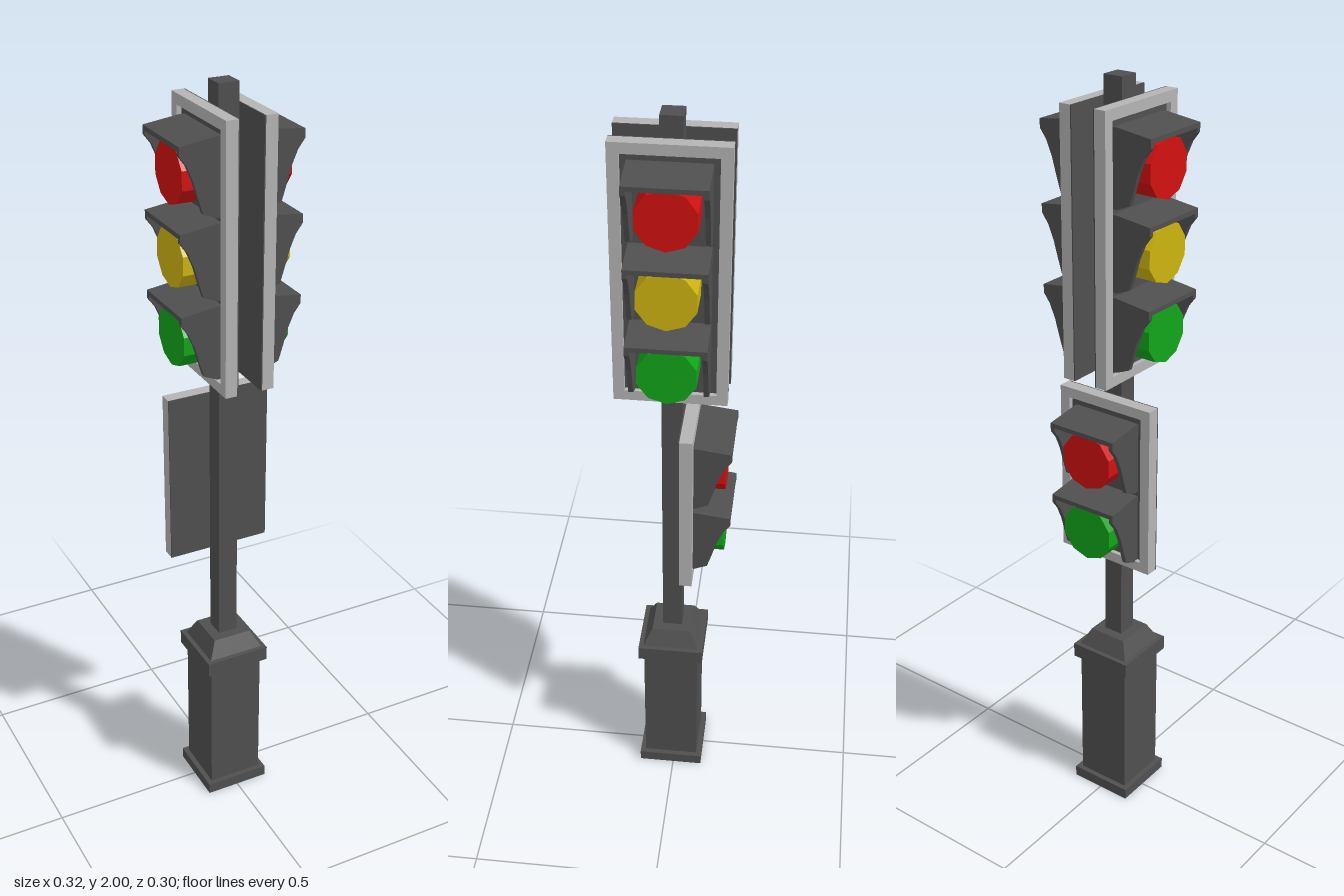
import * as THREE from 'three';

const mat = (name, color) => {
  const m = new THREE.MeshStandardMaterial({ color });
  m.name = name;
  return m;
};

export function createModel() {
  const dark = mat('dark grey', 0x4f4f4f);
  const light = mat('light grey', 0xb4b4b4);
  const red = mat('red', 0xd21010);
  const yellow = mat('yellow', 0xcdb410);
  const green = mat('green', 0x12a51a);

  const model = new THREE.Group();
  const CZ = 0.0075; // pole axis

  const add = (parent, name, geo, material, x = 0, y = 0, z = 0) => {
    const m = new THREE.Mesh(geo, material);
    m.name = name;
    m.position.set(x, y, z);
    parent.add(m);
    return m;
  };
  const block = (parent, name, w, y0, y1, d, material, z = 0) =>
    add(parent, name, new THREE.BoxGeometry(w, y1 - y0, d), material, 0, (y0 + y1) / 2, z);
  const polygon = (points) => new THREE.Shape(points.map(([x, y]) => new THREE.Vector2(x, y)));
  const rect = (hw, y0, y1) => polygon([[-hw, y0], [hw, y0], [hw, y1], [-hw, y1]]);
  const extrude = (shape, depth) => new THREE.ExtrudeGeometry(shape, { depth, bevelEnabled: false });

  // Pole and stepped square base
  const post = new THREE.Group();
  post.name = 'post';
  post.position.z = CZ;
  model.add(post);
  block(post, 'pole', 0.053, 0.45, 2, 0.053, dark);
  block(post, 'baseBody', 0.149, 0.025, 0.42, 0.149, dark);
  block(post, 'baseCollar', 0.177, 0.415, 0.455, 0.177, dark);
  const taper = new THREE.CylinderGeometry(0.053 * Math.SQRT2, 0.076 * Math.SQRT2, 0.045, 4, 1);
  taper.rotateY(Math.PI / 4);
  add(post, 'baseTaper', taper.toNonIndexed(), dark, 0, 0.4775, 0).geometry.computeVertexNormals();
  // Plinth, hollow underneath
  const plinthShape = rect(0.0885, -0.0885, 0.0885);
  plinthShape.holes.push(rect(0.065, -0.065, 0.065));
  const plinth = extrude(plinthShape, 0.03);
  plinth.rotateX(-Math.PI / 2);
  add(post, 'plinth', plinth, dark);

  // Visor: profiles in depth and height, swept across the width
  const sideProfile = polygon([
    [-0.012, 0.1], [0, 0.1], [0.094, 0.088], [0.094, 0.066], [0.076, 0.042],
    [0.06, 0.005], [0.047, -0.04], [0.036, -0.075], [0, -0.09], [-0.012, -0.09],
  ]);
  const roofProfile = polygon([[-0.012, 0.1], [0, 0.1], [0.094, 0.088], [0.094, 0.076], [0, 0.088], [-0.012, 0.088]]);
  const HALF = 0.097, WALL = 0.012;
  const sideGeo = extrude(sideProfile, WALL).rotateY(-Math.PI / 2);
  const roofGeo = extrude(roofProfile, 2 * (HALF - WALL)).rotateY(-Math.PI / 2);
  const lampGeo = new THREE.CylinderGeometry(0.075, 0.075, 0.088, 10).rotateX(Math.PI / 2).toNonIndexed();
  lampGeo.computeVertexNormals();

  // One signal head facing local +z, its back at z = 0
  const signalHead = (name, y0, y1, lamps, depth) => {
    const head = new THREE.Group();
    head.name = name;
    block(head, 'backPanel', 0.279, y0, y1, 0.003, dark, 0.0015);
    const frame = rect(0.1395, y0, y1);
    frame.holes.push(rect(0.112, y0 + 0.027, y1 - 0.027));
    add(head, 'frame', extrude(frame, depth - 0.003), light, 0, 0, 0.003);
    block(head, 'facePanel', 0.226, y0 + 0.026, y1 - 0.026, depth - 0.015, dark, (depth - 0.009) / 2);
    for (const [y, material] of lamps) {
      add(head, 'lamp', lampGeo, material, 0, y, depth + 0.032);
      add(head, 'visorRoof', roofGeo, dark, HALF - WALL, y, depth);
      add(head, 'visorSide', sideGeo, dark, HALF, y, depth);
      add(head, 'visorSide', sideGeo, dark, -HALF + WALL, y, depth);
    }
    model.add(head);
    return head;
  };

  // Pair of three-lamp heads on either side of the pole
  for (const s of [1, -1]) {
    const head = signalHead(s > 0 ? 'leftSignal' : 'rightSignal', 1.276, 1.95,
      [[1.805, red], [1.602, yellow], [1.399, green]], 0.034);
    head.position.set(s * 0.031, 0, CZ);
    head.rotation.y = s * Math.PI / 2;
  }

  // Two-lamp crossing head on the back
  const crossing = signalHead('crossingSignal', 0.747, 1.21, [[1.063, red], [0.86, green]], 0.036);
  crossing.position.z = -0.0195;
  crossing.rotation.y = Math.PI;

  return model;
}
